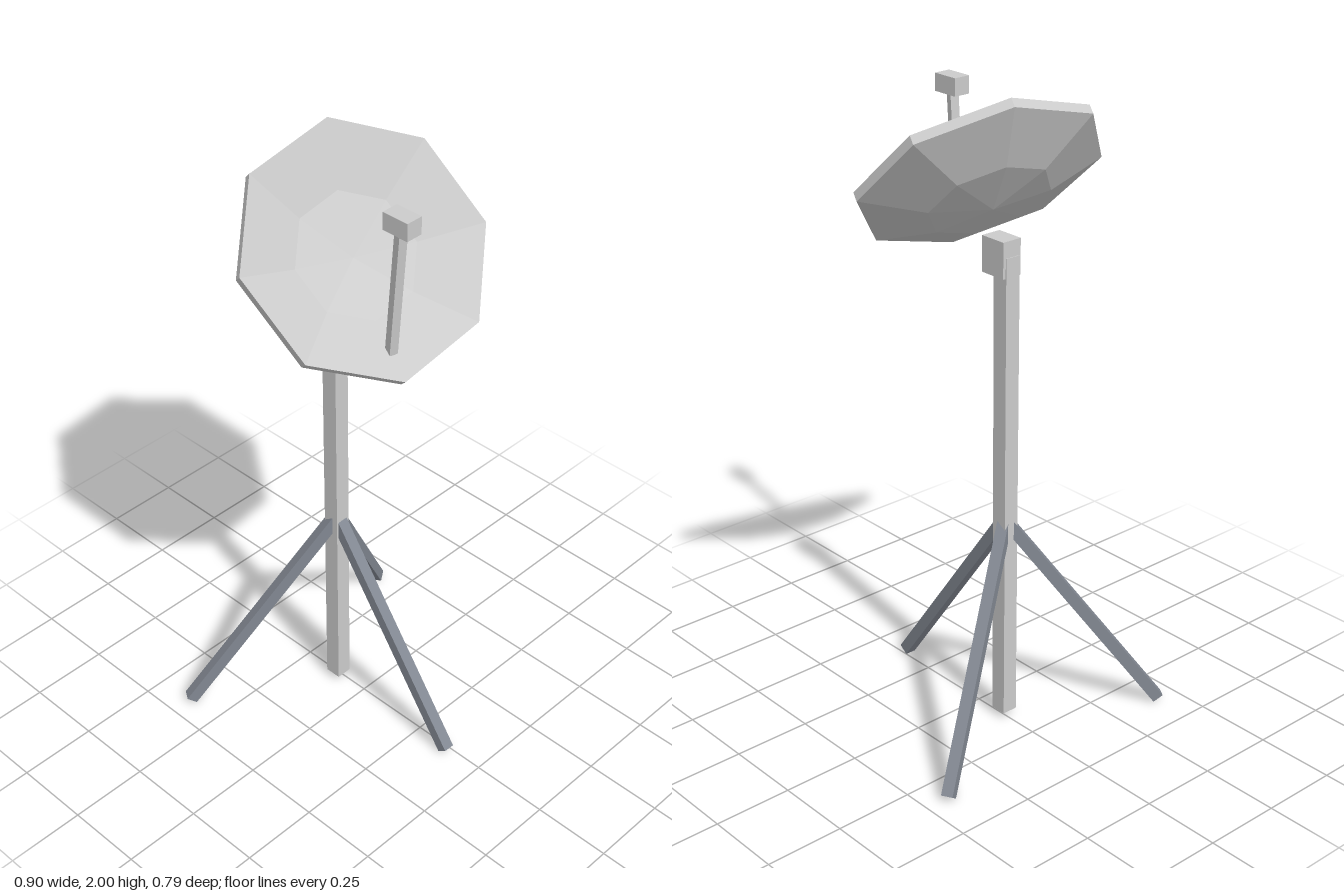
import * as THREE from 'three';

const V = (x, y, z) => new THREE.Vector3(x, y, z);
const grey = new THREE.MeshStandardMaterial({ color: 0xcccccc, flatShading: true });
const steel = new THREE.MeshStandardMaterial({ color: 0x838993, flatShading: true });

function box(name, size, center, material = grey) {
  const mesh = new THREE.Mesh(new THREE.BoxGeometry(...size), material);
  mesh.name = name;
  mesh.position.copy(center);
  return mesh;
}

// Square bar running from one point to another
function bar(name, from, to, width, material = grey) {
  const center = from.clone().add(to).multiplyScalar(0.5);
  const mesh = box(name, [width, width, from.distanceTo(to)], center, material);
  mesh.lookAt(to);
  return mesh;
}

// Eight-sided bowl with an outer shell, a thin rim and a hollow front
function makeDish() {
  const R = 0.378;
  const profile = [
    [0, -0.132], [R * 0.5, -0.105], [R, -0.03],
    [R, 0], [R * 0.5, -0.07], [0, -0.097],
  ].map(([r, y]) => new THREE.Vector2(r, y));
  const dish = new THREE.Mesh(new THREE.LatheGeometry(profile, 8), grey);
  dish.name = 'dish';
  // Aim the bowl's axis and turn one rim corner to the side
  const axis = V(-0.197, 0.683, 0.703).normalize();
  const side = V(0.36, -0.02, 0.12).projectOnPlane(axis).normalize();
  const across = axis.clone().cross(side);
  dish.quaternion.setFromRotationMatrix(new THREE.Matrix4().makeBasis(across, axis, side));
  dish.position.set(-0.038, 1.727, 0.045);
  return dish;
}

export function createModel() {
  const model = new THREE.Group();
  model.name = 'dishOnTripod';

  // Upright post and the block on top of it
  model.add(box('post', [0.051, 1.5, 0.053], V(-0.007, 0.77, -0.111)));
  model.add(box('mountBlock', [0.066, 0.11, 0.09], V(-0.005, 1.515, -0.09)));

  // Three splayed legs
  const hub = V(-0.008, 0.68, -0.11);
  const feet = {
    frontLeg: V(-0.018, 0.011, 0.377),
    leftLeg: V(0.427, 0.011, -0.35),
    rightLeg: V(-0.425, 0.011, -0.371),
  };
  for (const [name, foot] of Object.entries(feet)) {
    model.add(bar(name, hub, foot, 0.036, steel));
  }

  // Dish with its receiver on an arm
  model.add(makeDish());
  model.add(bar('receiverArm', V(-0.1, 1.485, 0.2), V(-0.113, 1.92, 0.245), 0.026));
  model.add(box('receiver', [0.054, 0.054, 0.088], V(-0.112, 1.926, 0.245)));

  return model;
}
